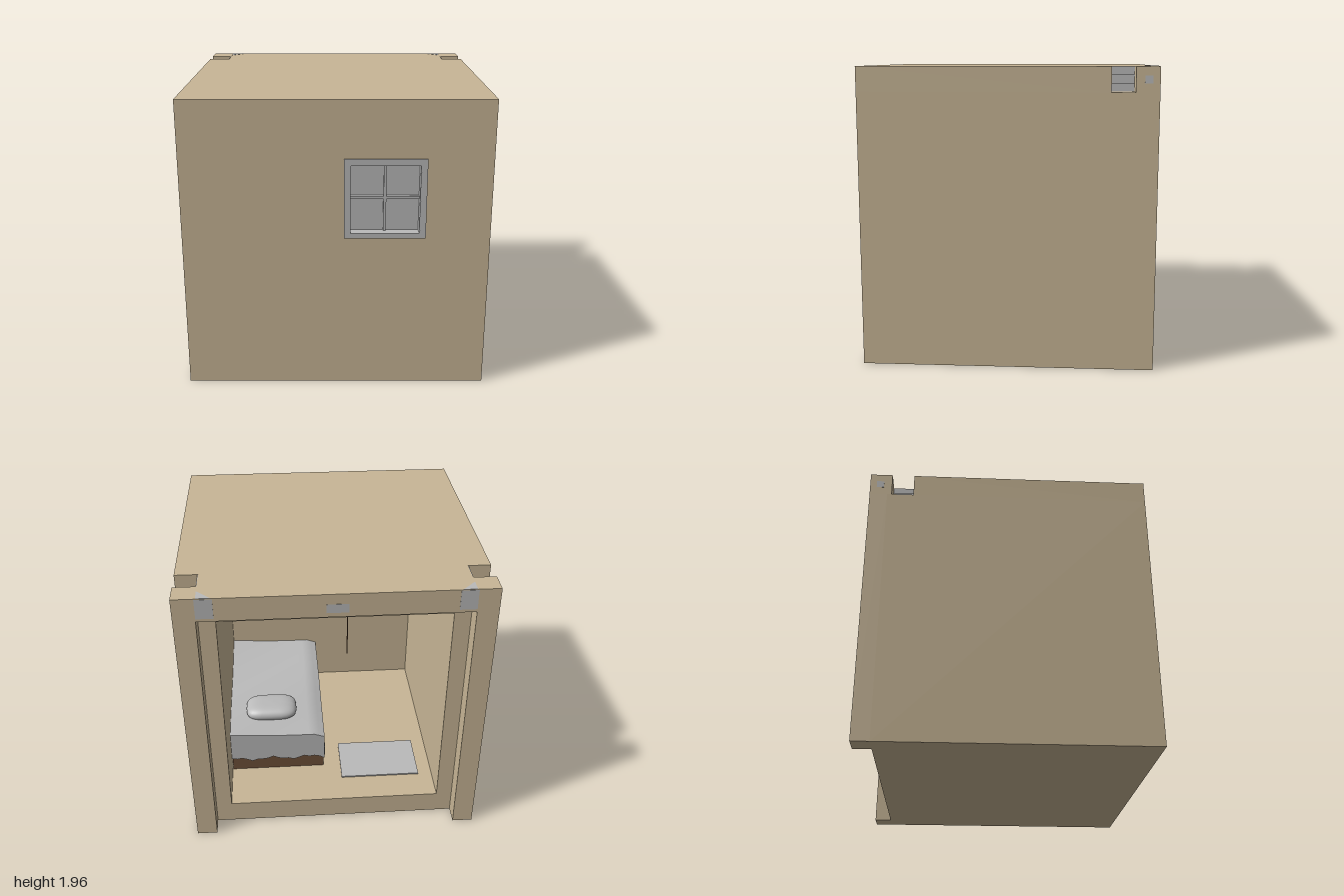
import * as THREE from 'three';

const mat = (name, color) => Object.assign(new THREE.MeshStandardMaterial({ color }), { name });

export function createModel() {
  const tan = mat('tan plaster', 0xc8b696);
  const grey = mat('light grey', 0xbababa);
  const wood = mat('dark wood', 0x6e5039);
  const room = new THREE.Group();
  room.name = 'bedroomCube';

  const add = (name, geo, material, x = 0, y = 0, z = 0) => {
    const m = new THREE.Mesh(geo, material);
    m.name = name;
    m.position.set(x, y, z);
    room.add(m);
    return m;
  };
  // box given by its two extreme corners
  const block = (name, material, x0, x1, y0, y1, z0, z1) =>
    add(name, new THREE.BoxGeometry(x1 - x0, y1 - y0, z1 - z0), material,
      (x0 + x1) / 2, (y0 + y1) / 2, (z0 + z1) / 2);
  const polygon = (pts) => new THREE.Shape(pts.map(([x, y]) => new THREE.Vector2(x, y)));
  const rect = (x0, x1, y0, y1) => polygon([[x0, y0], [x1, y0], [x1, y1], [x0, y1]]);
  const plate = (shape, depth) => new THREE.ExtrudeGeometry(shape, { depth, bevelEnabled: false });

  // roof slab with a square notch on each side (shape y is -z)
  const roof = polygon([
    [-1, -0.95], [1, -0.95], [1, 0.66], [0.85, 0.66], [0.85, 0.81], [1, 0.81], [1, 0.96],
    [-1, 0.96], [-1, 0.81], [-0.85, 0.81], [-0.85, 0.66], [-1, 0.66],
  ]);
  add('roof', plate(roof, 0.16).rotateX(-Math.PI / 2), tan, 0, 1.8, 0);
  block('ceiling', tan, -0.75, 0.75, 1.72, 1.8, -0.84, 0.74);
  block('floor', tan, -0.75, 0.75, 0, 0.16, -0.84, 0.74);

  // front wall with the window opening
  const wall = rect(-0.75, 0.75, 0, 1.8);
  wall.holes.push(rect(0.09, 0.54, 1.08, 1.54));
  add('frontWall', plate(wall, 0.21), tan, 0, 0, 0.74);

  // side walls, rear posts and the grey fittings
  for (const s of [-1, 1]) {
    const side = s < 0 ? 'right' : 'left';
    const mirrored = (name, material, a, b, ...rest) =>
      block(side + name, material, Math.min(s * a, s * b), Math.max(s * a, s * b), ...rest);
    mirrored('Wall', tan, 0.75, 1, 0, 1.8, -0.84, 0.95);
    mirrored('RearPost', tan, 0.86, 1, 0, 1.8, -0.96, -0.84);
    mirrored('NotchPlate', grey, 0.85, 0.855, 1.8, 1.958, -0.81, -0.66);
    mirrored('NotchRod', grey, 0.855, 0.865, 1.85, 1.91, -0.81, -0.66);
    mirrored('BeamPlate', grey, 0.75, 0.86, 1.82, 1.955, -0.962, -0.958);
    mirrored('SidePin', grey, 0.998, 1.001, 1.855, 1.905, -0.915, -0.865);
    const corner = polygon([[0.85 * s, 0.87], [0.85 * s, 0.96], [0.76 * s, 0.96]]);
    add(side + 'RoofPlate', plate(corner, 0.002).rotateX(-Math.PI / 2), grey, 0, 1.96, 0);
  }
  block('beamCentrePlate', grey, -0.07, 0.07, 1.83, 1.89, -0.962, -0.958);

  // window: proud frame, reveal lining, glass and glazing bars
  const frame = rect(0.05, 0.58, 1.05, 1.58);
  frame.holes.push(rect(0.09, 0.54, 1.08, 1.54));
  add('windowFrame', plate(frame, 0.01), grey, 0, 0, 0.95);
  const lining = rect(0.088, 0.542, 1.078, 1.542);
  lining.holes.push(rect(0.093, 0.537, 1.083, 1.537));
  add('windowLining', plate(lining, 0.22), grey, 0, 0, 0.739);
  block('windowGlass', grey, 0.092, 0.538, 1.082, 1.538, 0.87, 0.878);
  block('windowBarUpright', grey, 0.306, 0.324, 1.083, 1.537, 0.878, 0.9);
  block('windowBarCross', grey, 0.093, 0.537, 1.3, 1.318, 0.878, 0.9);

  // bed base and a rumpled cover with an uneven hem
  block('bedBase', wood, 0.06, 0.745, 0.16, 0.34, -0.47, 0.735);
  const cover = new THREE.BoxGeometry(0.7, 0.24, 1.22, 18, 4, 32).translate(0.4, 0.38, 0.13);
  const p = cover.attributes.position;
  for (let i = 0; i < p.count; i++) {
    const x = p.getX(i), y = p.getY(i), z = p.getZ(i);
    const t = (y - 0.26) / 0.24;
    const top = 0.015 * Math.sin(5 * z + 4 * x) + 0.03 * (z + 0.2);
    const hem = 0.012 * Math.sin(31 * z + 23 * x) + 0.008 * Math.sin(57 * x - 43 * z);
    const edge = Math.max(0, (0.13 - x) / 0.08);
    p.setY(i, y + t * (top - 0.03 * edge) + (1 - t) * hem);
    if (x < 0.06) p.setX(i, x + 0.008 * Math.sin(20 * z) * (1 - t));
  }
  cover.computeVertexNormals();
  add('bedCover', cover, grey);

  // pillow: a sphere squared off into a cushion
  const pillow = new THREE.SphereGeometry(1, 32, 20);
  const q = pillow.attributes.position;
  const square = (v) => Math.sign(v) * Math.abs(v) ** 0.55;
  for (let i = 0; i < q.count; i++)
    q.setXYZ(i, 0.19 * square(q.getX(i)), 0.055 * q.getY(i), 0.13 * square(q.getZ(i)));
  pillow.computeVertexNormals();
  add('pillow', pillow, grey, 0.44, 0.53, -0.2);

  block('rug', grey, -0.65, -0.07, 0.16, 0.17, -0.62, -0.24);

  // ceiling lamp with crossbar and pull cord
  block('lampBar', wood, -0.22, 0.22, 1.67, 1.69, -0.08, -0.02);
  add('lampStem', new THREE.CylinderGeometry(0.02, 0.02, 0.1, 16), wood, 0, 1.67, -0.05);
  add('lampGlobe', new THREE.SphereGeometry(0.115, 32, 20), grey, 0, 1.53, -0.05);
  add('pullCord', new THREE.CylinderGeometry(0.004, 0.004, 0.77, 8), wood, -0.15, 1.285, -0.05);

  return room;
}
